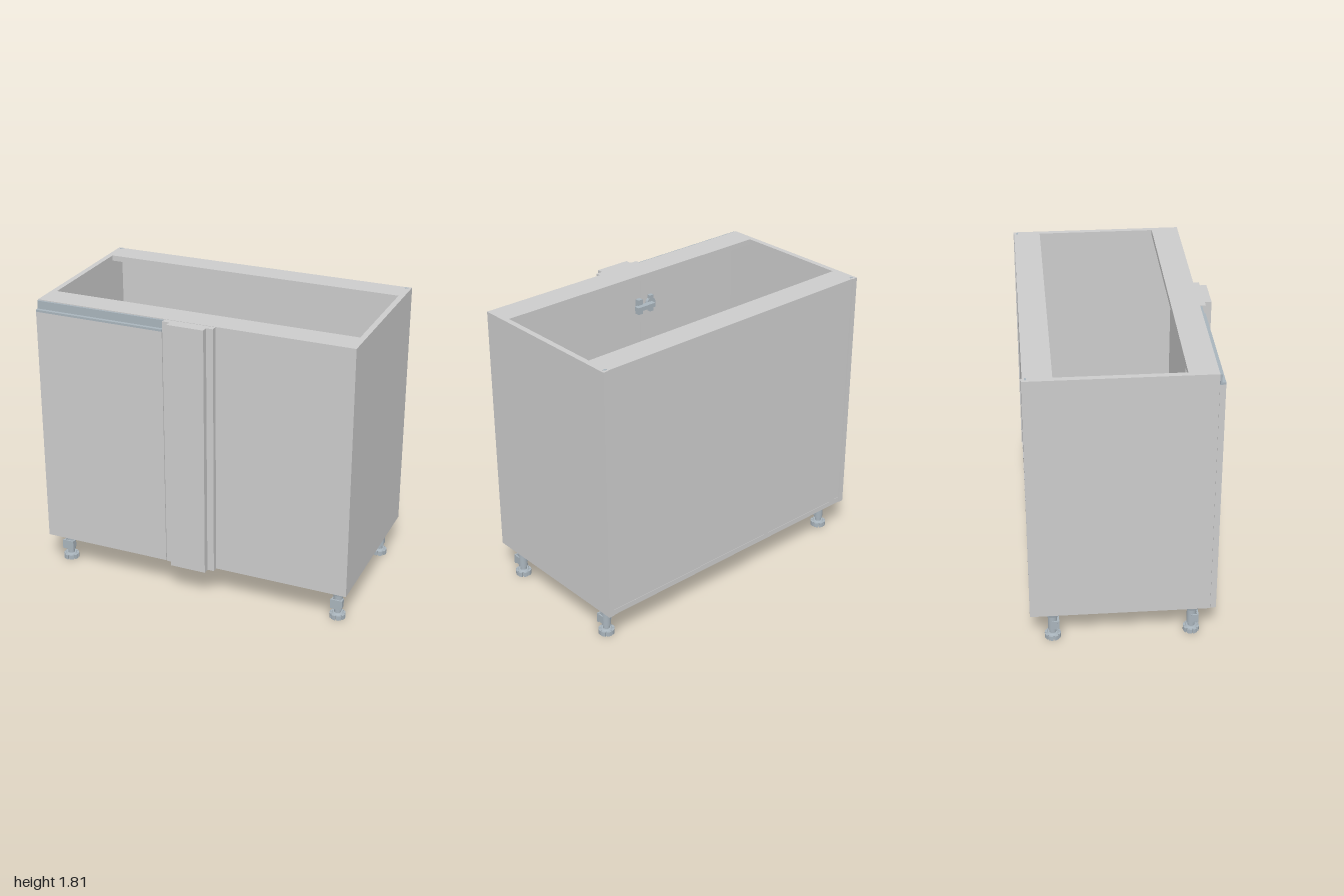
import * as THREE from 'three';

const grey = new THREE.MeshStandardMaterial({ color: 0xcccccc });
const metal = new THREE.MeshStandardMaterial({ color: 0xa9b4bc });

// Box given by its min / max limits on each axis
function panel(parent, name, [x0, x1], [y0, y1], [z0, z1], mat = grey) {
  const m = new THREE.Mesh(new THREE.BoxGeometry(x1 - x0, y1 - y0, z1 - z0), mat);
  m.position.set((x0 + x1) / 2, (y0 + y1) / 2, (z0 + z1) / 2);
  m.name = name;
  parent.add(m);
  return m;
}

function cylinder(parent, name, rTop, rBottom, y0, y1, sides = 24) {
  const m = new THREE.Mesh(new THREE.CylinderGeometry(rTop, rBottom, y1 - y0, sides), metal);
  m.position.y = (y0 + y1) / 2;
  m.name = name;
  parent.add(m);
  return m;
}

// Outline extruded upwards from y0 to y1 (outline is in x, -z)
function upright(parent, name, points, y0, y1, mat) {
  const shape = new THREE.Shape(points.map(([x, y]) => new THREE.Vector2(x, y)));
  const geo = new THREE.ExtrudeGeometry(shape, { depth: y1 - y0, bevelEnabled: false });
  const m = new THREE.Mesh(geo.rotateX(-Math.PI / 2), mat);
  m.position.y = y0;
  m.name = name;
  parent.add(m);
  return m;
}

// Round outline with notches cut into its rim
function notchedDisc(radius, inner, notches) {
  const pts = [];
  const step = (Math.PI * 2) / notches;
  for (let i = 0; i < notches; i++) {
    for (const [t, r] of [[0, inner], [0.22, inner], [0.22, radius], [0.48, radius], [0.74, radius], [1, radius]]) {
      const a = (i + t) * step;
      pts.push([Math.cos(a) * r, Math.sin(a) * r]);
    }
  }
  return pts;
}

// Adjustable leg: socket, stem, plinth clip and notched foot
function makeLeg() {
  const leg = new THREE.Group();
  leg.name = 'leg';
  cylinder(leg, 'legFlange', 0.052, 0.052, 0.2, 0.215);
  cylinder(leg, 'legSocket', 0.05, 0.044, 0.17, 0.2, 12);
  cylinder(leg, 'legStem', 0.028, 0.028, 0.06, 0.17);
  cylinder(leg, 'legScrew', 0.021, 0.021, 0.03, 0.06);
  upright(leg, 'legFoot', notchedDisc(0.049, 0.039, 8), 0, 0.03, metal);
  cylinder(leg, 'footCollar', 0.03, 0.036, 0.03, 0.037);
  panel(leg, 'clipPlate', [-0.038, 0.038], [0.075, 0.137], [0.03, 0.04], metal);
  panel(leg, 'clipNeck', [-0.015, 0.015], [0.085, 0.125], [0.015, 0.032], metal);
  for (const s of [-1, 1]) {
    panel(leg, 'clipRib', [s * 0.03 - 0.005, s * 0.03 + 0.005], [0.08, 0.132], [-0.005, 0.032], metal);
  }
  return leg;
}

// Door hinge: cup, arm and cross-shaped mounting plate
function makeHinge() {
  const hinge = new THREE.Group();
  hinge.name = 'hinge';
  const cup = cylinder(hinge, 'hingeCup', 0.035, 0.035, -0.01, 0.01);
  cup.rotation.x = Math.PI / 2;
  cup.position.set(-0.06, 0, 0.02);
  panel(hinge, 'hingeCupFlange', [-0.075, -0.045], [-0.055, 0.055], [0.005, 0.03], metal);
  panel(hinge, 'hingeArm', [-0.06, 0.08], [-0.014, 0.014], [-0.03, 0.008], metal);
  panel(hinge, 'hingePlate', [0.02, 0.055], [-0.05, 0.05], [0, 0.03], metal);
  return hinge;
}

export function createModel() {
  const model = new THREE.Group();
  model.name = 'cornerBaseCabinet';
  const bottom = 0.215, top = 1.812, t = 0.035;
  const inner = 1 - t;

  // Carcass
  const carcass = new THREE.Group();
  carcass.name = 'carcass';
  model.add(carcass);
  for (const s of [-1, 1]) {
    const x = s < 0 ? [-1, -inner] : [inner, 1];
    panel(carcass, s < 0 ? 'rightSide' : 'leftSide', x, [bottom, top], [-0.575, 0.5]);
    // Small fitting cap at the rear top corner
    const cap = cylinder(carcass, 'fittingCap', 0.013, 0.013, top - 0.01, top + 0.001, 16);
    cap.scale.z = 0.5;
    cap.position.x = s * 0.972;
    cap.position.z = -0.552;
  }
  panel(carcass, 'bottomPanel', [-inner, inner], [bottom, bottom + t], [-0.57, 0.5]);
  panel(carcass, 'backPanel', [-inner, inner], [bottom + t, top - t], [-0.568, -0.54]);
  panel(carcass, 'backRail', [-inner, inner], [top - t, top], [-0.57, -0.405]);
  panel(carcass, 'frontRail', [-inner, inner], [top - t, top], [0.33, 0.5]);
  panel(carcass, 'blindPanel', [0.115, inner], [bottom + t, top - t], [0.465, 0.5]);

  // Stepped corner post on the front
  upright(model, 'cornerPost', [
    [-0.163, -0.5], [-0.163, -0.535], [-0.117, -0.535], [-0.117, -0.575],
    [0.113, -0.575], [0.113, -0.535], [0.156, -0.535], [0.156, -0.5],
  ], bottom, top - 0.002, grey);

  // Door with a recessed grip profile along its top
  const door = new THREE.Group();
  door.name = 'door';
  model.add(door);
  const doorX = [-0.998, -0.167];
  panel(door, 'doorPanel', doorX, [bottom + 0.003, 1.745], [0.501, 0.535]);
  panel(door, 'gripLedge', doorX, [1.745, 1.758], [0.501, 0.535], metal);
  panel(door, 'gripBack', doorX, [1.758, 1.808], [0.501, 0.513], metal);

  for (const y of [0.5, 1.52]) {
    const hinge = makeHinge();
    hinge.position.set(-0.18, y, 0.47);
    model.add(hinge);
  }

  // Four legs
  for (const x of [-0.92, 0.92]) {
    for (const z of [0.4, -0.44]) {
      const leg = makeLeg();
      leg.position.set(x, 0, z);
      model.add(leg);
    }
  }
  return model;
}
